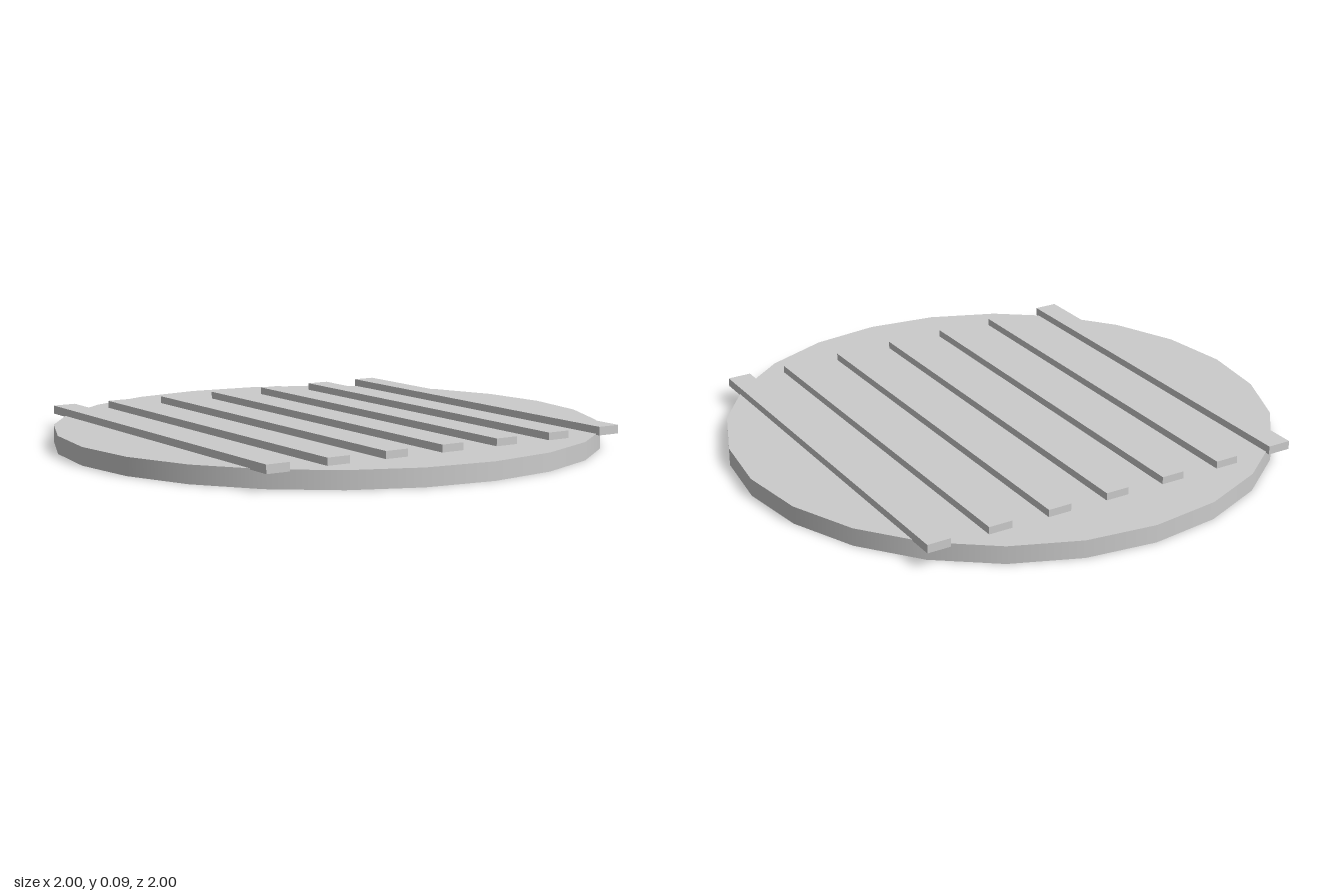
import * as THREE from 'three';

export function createModel() {
  const group = new THREE.Group();
  const material = new THREE.MeshStandardMaterial({ color: 0xcccccc });

  // Round base plate with smooth rim
  const discHeight = 0.065;
  const disc = new THREE.Mesh(new THREE.CylinderGeometry(1, 1, discHeight, 24), material);
  disc.name = 'baseDisc';
  disc.position.y = discHeight / 2;
  group.add(disc);

  // Seven parallel slats, slightly sunk into the plate
  const slats = new THREE.Group();
  slats.name = 'slats';
  const slatGeometry = new THREE.BoxGeometry(0.088, 0.031, 1.538);
  for (let i = -3; i <= 3; i++) {
    const slat = new THREE.Mesh(slatGeometry, material);
    slat.name = `slat${i + 4}`;
    slat.position.set(i * 0.2308, 0.0765, 0);
    slats.add(slat);
  }
  group.add(slats);

  return group;
}
